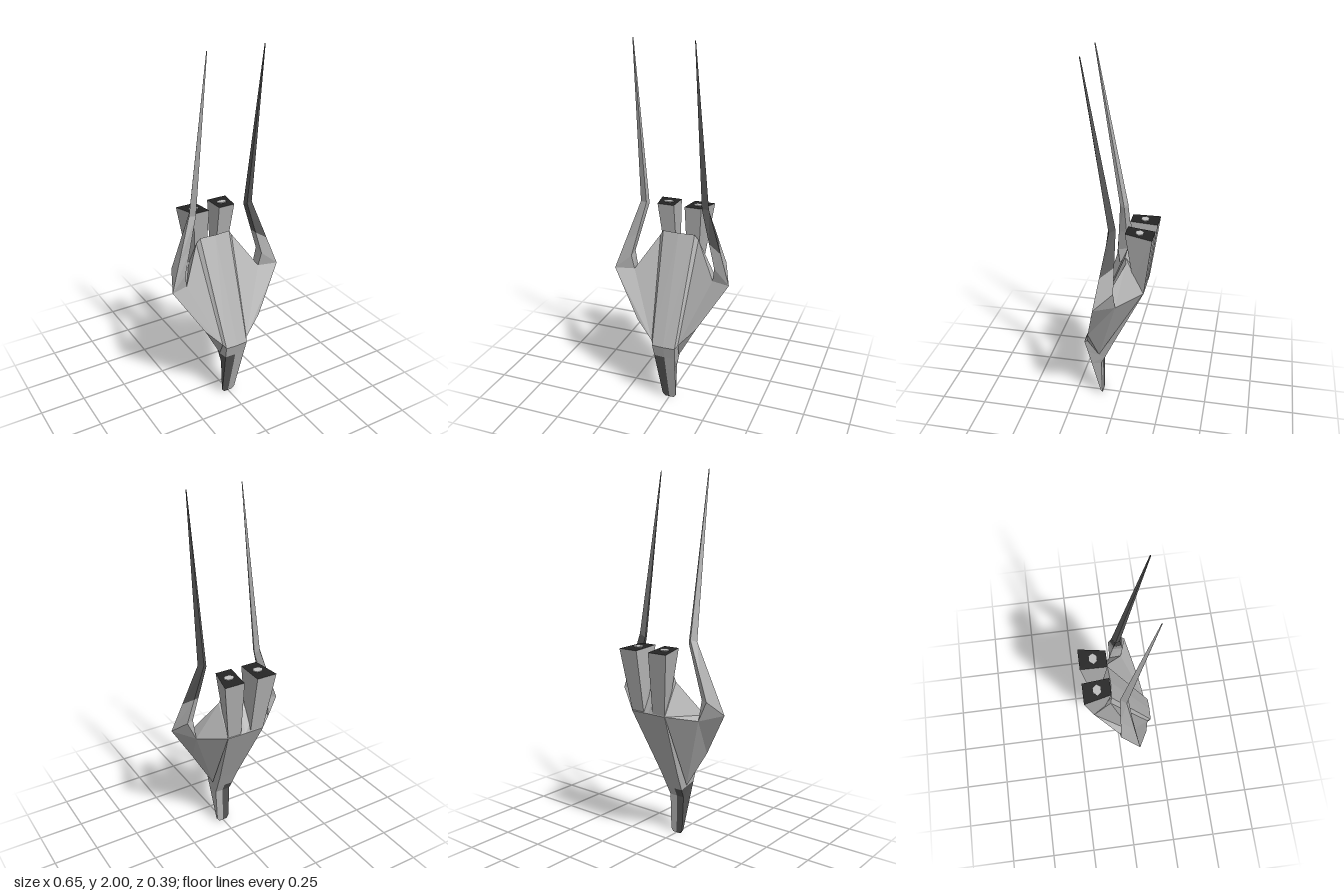
import * as THREE from 'three';

const flat = (color, name) => {
  const m = new THREE.MeshStandardMaterial({ color });
  m.name = name;
  m.flatShading = true;
  m.side = THREE.DoubleSide;
  return m;
};

// Flat-faced mesh from convex polygons; side = -1 mirrors it across x
function facesMesh(name, faces, material, side = 1) {
  const pos = [];
  for (const face of faces) {
    const f = side < 0 ? [...face].reverse() : face;
    for (let i = 1; i < f.length - 1; i++)
      for (const p of [f[0], f[i], f[i + 1]]) pos.push(p[0] * side, p[1], p[2]);
  }
  const g = new THREE.BufferGeometry();
  g.setAttribute('position', new THREE.Float32BufferAttribute(pos, 3));
  g.computeVertexNormals();
  const mesh = new THREE.Mesh(g, material);
  mesh.name = name;
  return mesh;
}

// Quads between successive rings (counter-clockwise from above, going up)
function loft(rings, closed) {
  const faces = [];
  for (let r = 0; r < rings.length - 1; r++) {
    const a = rings[r], b = rings[r + 1], n = a.length;
    for (let i = 0; i < (closed ? n : n - 1); i++) {
      const j = (i + 1) % n;
      faces.push([a[i], a[j], b[j], b[i]]);
    }
  }
  return faces;
}

const mixRing = (a, b, t) => a.map((p, i) => p.map((v, k) => v + (b[i][k] - v) * t));

// Half cross-section of the hull: front centre, front corner, back corner, back centre
const hullRing = (yf, wf, zf, yb, wb, zb, crown = 0.003) =>
  [[0, yf, zf + crown], [wf, yf, zf], [wb, yb, zb], [0, yb, zb]];

export function createModel() {
  const hullGrey = flat(0xb0b0b0, 'hull grey');
  const darkGrey = flat(0x545454, 'dark panel grey');
  const black = flat(0x242424, 'engine black');
  const glow = flat(0xbebebe, 'exhaust light grey');
  const model = new THREE.Group();
  model.name = 'dartShip';

  const noseRings = [
    hullRing(0, 0.025, 0.102, 0, 0.025, 0.098, 0),
    hullRing(0.02, 0.04, 0.106, 0.02, 0.038, 0.098, 0.001),
    hullRing(0.22, 0.054, 0.155, 0.22, 0.046, 0.1),
    hullRing(0.3, 0.06, 0.174, 0.27, 0.05, 0.076),
  ];
  const bodyRings = [
    noseRings[3],
    hullRing(0.37, 0.065, 0.192, 0.37, 0.058, 0.03),
    hullRing(0.95, 0.09, -0.046, 0.75, 0.11, -0.15, 0.006),
  ];
  const [rearTopMid, rearTop, rearBase, rearBaseMid] = bodyRings[2];
  const shelf = [0.095, 0.87, -0.11], shelfMid = [0, 0.86, -0.09];

  // Wing corners
  const F0 = bodyRings[1][1], F1 = rearTop;
  const A = [0.06, 0.29, 0.11], B = [0.076, 0.385, 0.17], C = [0.17, 0.49, 0.146];
  const D = [0.326, 0.745, 0.08], E = [0.28, 0.83, -0.02], G = [0.23, 0.72, -0.02];
  const R = [0.11, 0.92, -0.054], N = [0.225, 0.74, 0.045], K = [0.11, 0.75, -0.148];
  const P = [0.237, 0.83, 0.0], Q = [0.237, 0.82, 0.058];

  // Prong sections from wing tip to point
  const root = [D, E, P, Q];
  const bend = [[0.19, 1.13, 0.02], [0.17, 1.14, -0.012], [0.147, 1.12, 0.005], [0.155, 1.13, 0.03]];
  const tip = [[0.159, 2, 0.157], [0.157, 2, 0.154], [0.154, 2, 0.156], [0.156, 2, 0.16]];
  const collar = mixRing(root, bend, 0.42);

  // Engine sections
  const engineBase = [[0.1, 0.82, -0.09], [0.109, 0.755, -0.15], [0.03, 0.755, -0.15], [0.03, 0.82, -0.09]];
  const engineTop = [[0.124, 1.1, -0.05], [0.154, 1.087, -0.196], [0.039, 1.087, -0.196], [0.031, 1.1, -0.05]];

  for (const s of [1, -1]) {
    const label = s > 0 ? 'left' : 'right';
    const half = new THREE.Group();
    half.name = label + 'Half';

    // Nose, one half painted dark
    half.add(facesMesh(label + 'Nose',
      [...loft(noseRings, false), noseRings[0].slice().reverse()], s > 0 ? hullGrey : darkGrey, s));

    // Hull with stepped rear
    half.add(facesMesh(label + 'Hull', [
      ...loft(bodyRings, false),
      [rearTopMid, rearTop, shelf, shelfMid],
      [shelfMid, shelf, rearBase, rearBaseMid],
      [rearTop, rearBase, shelf],
    ], hullGrey, s));

    // Wing: raised seam, top, underside, trailing edge and slot beside the prong
    half.add(facesMesh(label + 'Wing', [
      [F0, B, R, F1], [F1, R, K],
      [B, C, D], [B, D, N], [B, N, R], [D, Q, N],
      [A, C, B], [A, K, G], [A, G, C], [C, G, D], [G, E, D],
      [R, N, G, K], [Q, P, G, N], [G, P, E],
    ], hullGrey, s));

    // Prong, painted dark on one side
    half.add(facesMesh(label + 'ProngRoot', loft([root, collar], true), hullGrey, s));
    half.add(facesMesh(label + 'Prong',
      [...loft([collar, bend, tip], true), tip], s > 0 ? darkGrey : hullGrey, s));

    // Flared engine with black end and exhaust plate
    half.add(facesMesh(label + 'Engine', loft([engineBase, engineTop], true), hullGrey, s));
    half.add(facesMesh(label + 'EngineEnd', [engineTop], black, s));
    const exhaust = new THREE.Mesh(new THREE.CylinderGeometry(1, 1, 0.006, 6), glow);
    exhaust.name = label + 'Exhaust';
    exhaust.scale.set(0.03, 1, 0.023);
    exhaust.geometry.rotateY(Math.PI / 6);
    exhaust.rotation.x = -0.09;
    exhaust.position.set(0.087 * s, 1.095, -0.121);
    half.add(exhaust);

    model.add(half);
  }
  return model;
}
